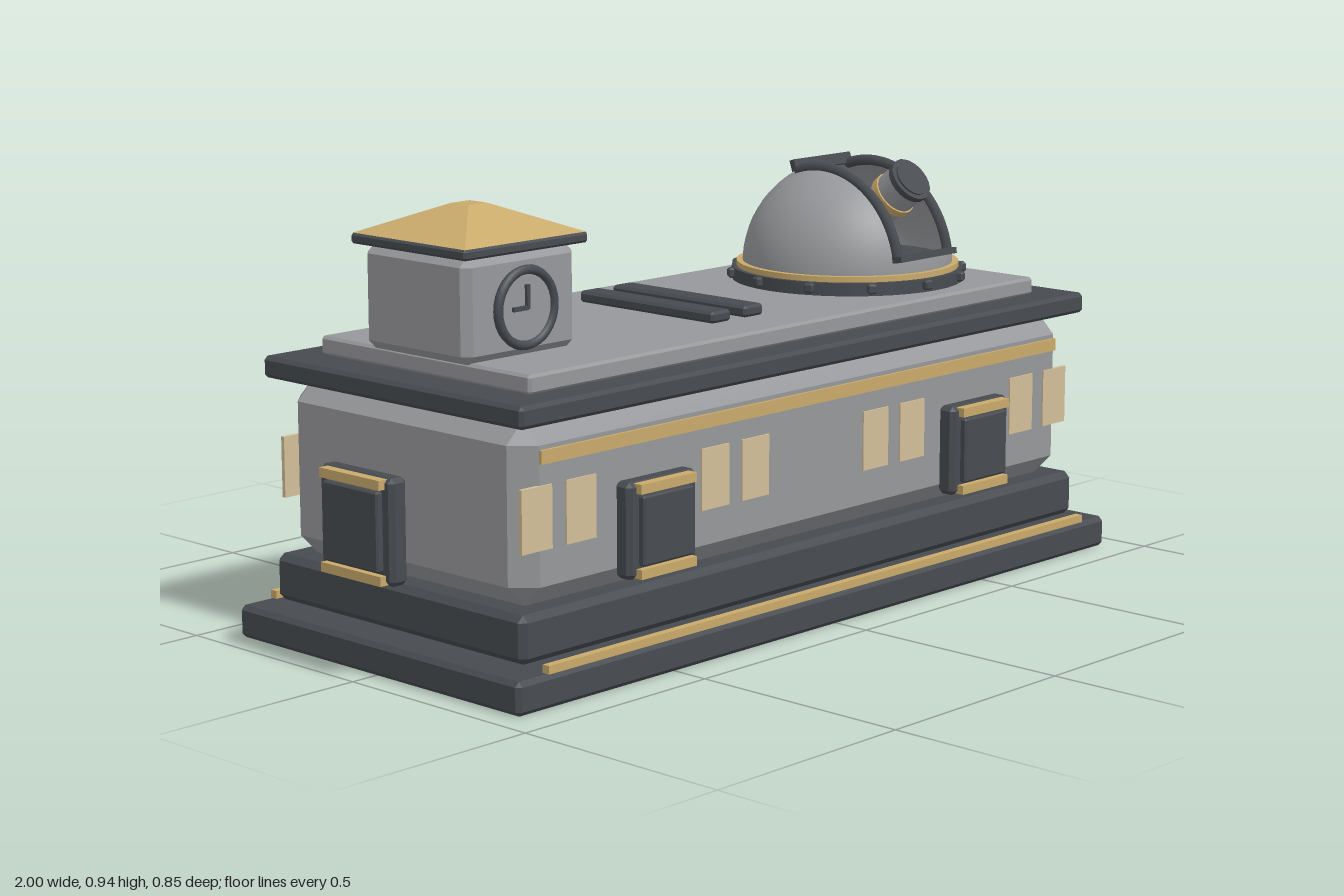
import * as THREE from 'three';
import { ConvexGeometry } from 'three/addons/geometries/ConvexGeometry.js';

const paint = (name, color) => Object.assign(new THREE.MeshStandardMaterial({ color }), { name });

export function createModel() {
  const model = new THREE.Group();
  model.name = 'observatory';
  const stone = paint('grey stone', 0x97989b);
  const domeGrey = paint('dome grey', 0x97989b);
  domeGrey.side = THREE.DoubleSide;
  const dark = paint('dark slate', 0x474b50);
  const gold = paint('brass', 0xc9aa6b);
  const pane = paint('pale window', 0xd3bf99);

  function add(parent, name, geometry, material, x = 0, y = 0, z = 0) {
    const mesh = new THREE.Mesh(geometry, material);
    mesh.name = name;
    mesh.position.set(x, y, z);
    parent.add(mesh);
    return mesh;
  }

  // Box with every edge cut off at 45 degrees
  function chamferBox(w, h, d, c) {
    const points = [];
    for (const sx of [-1, 1]) for (const sy of [-1, 1]) for (const sz of [-1, 1]) {
      for (let k = 0; k < 3; k++) {
        const p = [w / 2 - c, h / 2 - c, d / 2 - c];
        p[k] += c;
        points.push(new THREE.Vector3(sx * p[0], sy * p[1], sz * p[2]));
      }
    }
    return new ConvexGeometry(points);
  }
  const box = (w, h, d) => new THREE.BoxGeometry(w, h, d);

  // Stacked building masses
  add(model, 'base', chamferBox(1.89, 0.07, 0.85, 0.01), dark, 0, 0.035, 0);
  add(model, 'plinth', chamferBox(1.77, 0.1, 0.75, 0.014), dark, 0, 0.13, 0);
  add(model, 'walls', chamferBox(1.73, 0.375, 0.716, 0.045), stone, 0, 0.3675, 0);
  add(model, 'cornice', chamferBox(1.79, 0.046, 0.776, 0.008), dark, 0, 0.578, 0);
  add(model, 'roofSlab', chamferBox(1.6, 0.04, 0.626, 0.006), stone, 0, 0.62, 0);

  // Doorway: frame, recessed-look panel and two brass bars, facing local +z
  function doorway(name, w, h, depth, x, y, z, turn) {
    const g = new THREE.Group();
    g.name = name;
    add(g, 'doorFrame', chamferBox(w, h, depth, 0.01), dark, 0, 0, depth / 2);
    add(g, 'doorPanel', chamferBox(w - 0.055, h - 0.055, 0.03, 0.004), dark, 0, 0, depth);
    for (const s of [-1, 1])
      add(g, 'doorBar', box(w - 0.04, 0.02, 0.03), gold, 0, s * (h / 2 - 0.0125), depth);
    g.position.set(x, y, z);
    g.rotation.y = turn;
    model.add(g);
  }

  // Long walls: trims, windows and doorways, mirrored front to back
  for (const s of [1, -1]) {
    add(model, 'baseTrim', box(1.72, 0.017, 0.018), gold, 0, 0.0785, s * 0.413);
    add(model, 'wallTrim', box(1.64, 0.028, 0.014), gold, 0, 0.487, s * 0.358);
    for (const x of [-0.83, -0.708, -0.32, -0.197, 0.19, 0.313, 0.7, 0.823])
      add(model, 'window', box(0.083, 0.13, 0.009), pane, x, 0.365, s * 0.357);
    for (const x of [-0.513, 0.507])
      doorway('longWallDoorway', 0.2, 0.2, 0.045, x, 0.305, s * 0.355, s > 0 ? 0 : Math.PI);
    doorway('endDoorway', 0.22, 0.22, 0.045, s * 0.94, 0.32, 0, s * Math.PI / 2);
  }

  // Roof vents
  for (const x of [-0.127, -0.025])
    add(model, 'roofVent', chamferBox(0.06, 0.025, 0.4, 0.006), dark, x, 0.655, 0);

  // Clock tower
  const tower = new THREE.Group();
  tower.name = 'clockTower';
  tower.position.set(-0.665, 0, 0);
  model.add(tower);
  add(tower, 'towerWalls', chamferBox(0.31, 0.215, 0.31, 0.018), stone, 0, 0.745, 0);
  add(tower, 'eave', chamferBox(0.342, 0.022, 0.342, 0.005), dark, 0, 0.864, 0);
  const roof = new THREE.CylinderGeometry(0.026 * Math.SQRT2, 0.167 * Math.SQRT2, 0.06, 4)
    .rotateY(Math.PI / 4).toNonIndexed();
  roof.computeVertexNormals();
  add(tower, 'towerRoof', roof, gold, 0, 0.905, 0);
  add(tower, 'clockFace', new THREE.CylinderGeometry(0.08, 0.08, 0.014, 32).rotateX(Math.PI / 2), stone, 0, 0.74, 0.158);
  add(tower, 'clockRim', new THREE.TorusGeometry(0.077, 0.01, 8, 32), dark, 0, 0.74, 0.164);
  add(tower, 'minuteHand', box(0.009, 0.05, 0.008), dark, 0, 0.762, 0.168);
  add(tower, 'hourHand', box(0.04, 0.009, 0.008), dark, -0.02, 0.74, 0.168);

  // Dome base rings and bolts
  const dome = new THREE.Group();
  dome.name = 'dome';
  dome.position.set(0.51, 0, 0);
  model.add(dome);
  const disc = (r, h) => new THREE.CylinderGeometry(r, r, h, 40);
  add(dome, 'domeFoot', disc(0.265, 0.03), dark, 0, 0.654, 0);
  add(dome, 'brassRing', disc(0.254, 0.013), gold, 0, 0.675, 0);
  add(dome, 'domeFloor', disc(0.236, 0.01), dark, 0, 0.679, 0);
  for (let i = 0; i < 12; i++) {
    const a = (i * 30 - 7.5) * Math.PI / 180;
    const bolt = add(dome, 'bolt', chamferBox(0.022, 0.022, 0.022, 0.004), dark,
      Math.cos(-a) * 0.267, 0.657, -Math.sin(a) * 0.267);
    bolt.rotation.y = a;
  }

  // Dome shell with a slot: patches of a sphere whose poles lie on the x axis
  const R = 0.24, cy = 0.675, rad = Math.PI / 180;
  const edge = Math.acos(0.085 / R), low = 10, high = 110;
  const patch = (name, p0, p1, t0, t1) => add(dome, name,
    new THREE.SphereGeometry(R, Math.max(2, Math.round((p1 - p0) / 6)), 10, p0 * rad, (p1 - p0) * rad, t0, t1 - t0)
      .rotateZ(-Math.PI / 2), domeGrey, 0, cy, 0);
  patch('domeLeft', -90, 90, 0, edge);
  patch('domeRight', -90, 90, Math.PI - edge, Math.PI);
  patch('domeBack', -90, 90 - high, edge, Math.PI - edge);
  patch('domeSill', 90 - low, 90, edge, Math.PI - edge);

  // Slot frame
  for (const s of [-1, 1])
    add(dome, 'slotRib', new THREE.TorusGeometry(0.226, 0.012, 6, 32, (high - low) * rad)
      .rotateZ(low * rad).rotateY(-Math.PI / 2), dark, s * 0.087, cy, 0);
  for (const [e, r] of [[low, 0.232], [high, 0.238]]) {
    const bar = add(dome, 'slotBar', box(0.195, 0.014, 0.026), dark,
      0, cy + r * Math.sin(e * rad), r * Math.cos(e * rad));
    bar.rotation.x = -e * rad;
  }

  // Telescope, aimed along local +y and tipped forward
  const scope = new THREE.Group();
  scope.name = 'telescope';
  scope.position.set(0, 0.884, 0.1875);
  scope.rotation.x = 52 * rad;
  dome.add(scope);
  const tube = (r, h) => new THREE.CylinderGeometry(r, r, h, 24);
  add(scope, 'tube', tube(0.046, 0.27), stone, 0, -0.14, 0);
  add(scope, 'barrel', tube(0.05, 0.05), stone, 0, -0.033, 0);
  add(scope, 'brassBand', tube(0.053, 0.018), gold, 0, -0.068, 0);
  add(scope, 'lensRim', tube(0.053, 0.014), dark, 0, -0.008, 0);
  add(scope, 'lens', tube(0.042, 0.006), dark, 0, 0, 0);

  // Telescope mount
  for (const s of [-1, 1])
    add(dome, 'forkArm', box(0.016, 0.12, 0.04), stone, s * 0.068, 0.735, -0.01);
  add(dome, 'pivot', new THREE.CylinderGeometry(0.012, 0.012, 0.15, 12).rotateZ(Math.PI / 2), dark, 0, 0.785, -0.01);

  return model;
}
